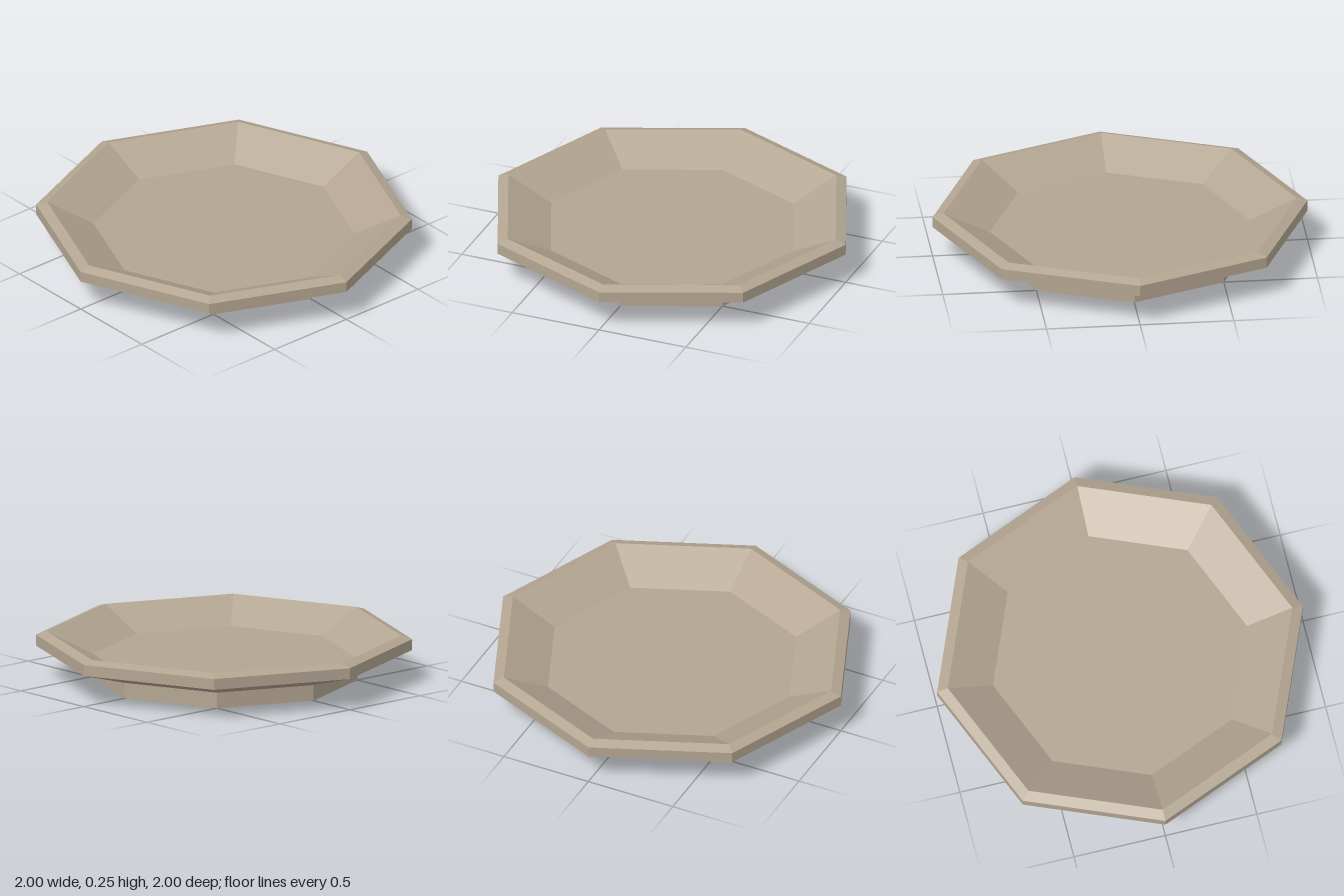
import * as THREE from 'three';

const SIDES = 8;

// Eight-sided turned part with flat facets; profile runs up the outside, then inward.
function turned(name, profile, material) {
  const points = profile.map(([r, y]) => new THREE.Vector2(r, y));
  const geometry = new THREE.LatheGeometry(points, SIDES).toNonIndexed();
  geometry.computeVertexNormals();
  const mesh = new THREE.Mesh(geometry, material);
  mesh.name = name;
  return mesh;
}

export function createModel() {
  const clay = new THREE.MeshStandardMaterial({ color: 0xb3a591 });
  clay.name = 'pale clay';

  const dish = new THREE.Group();
  dish.name = 'dish';

  // Foot: flat underside and short upright wall
  dish.add(turned('foot', [[0, 0], [0.71, 0], [0.71, 0.085]], clay));

  // Flared underside and upright outer edge
  dish.add(turned('outerBowl', [[0.71, 0.085], [1, 0.167], [1, 0.226]], clay));

  // Bevelled rim
  dish.add(turned('rim', [[1, 0.226], [0.942, 0.245]], clay));

  // Sloping inner wall and flat floor
  dish.add(turned('innerBowl', [[0.942, 0.245], [0.695, 0.125], [0, 0.125]], clay));

  return dish;
}
